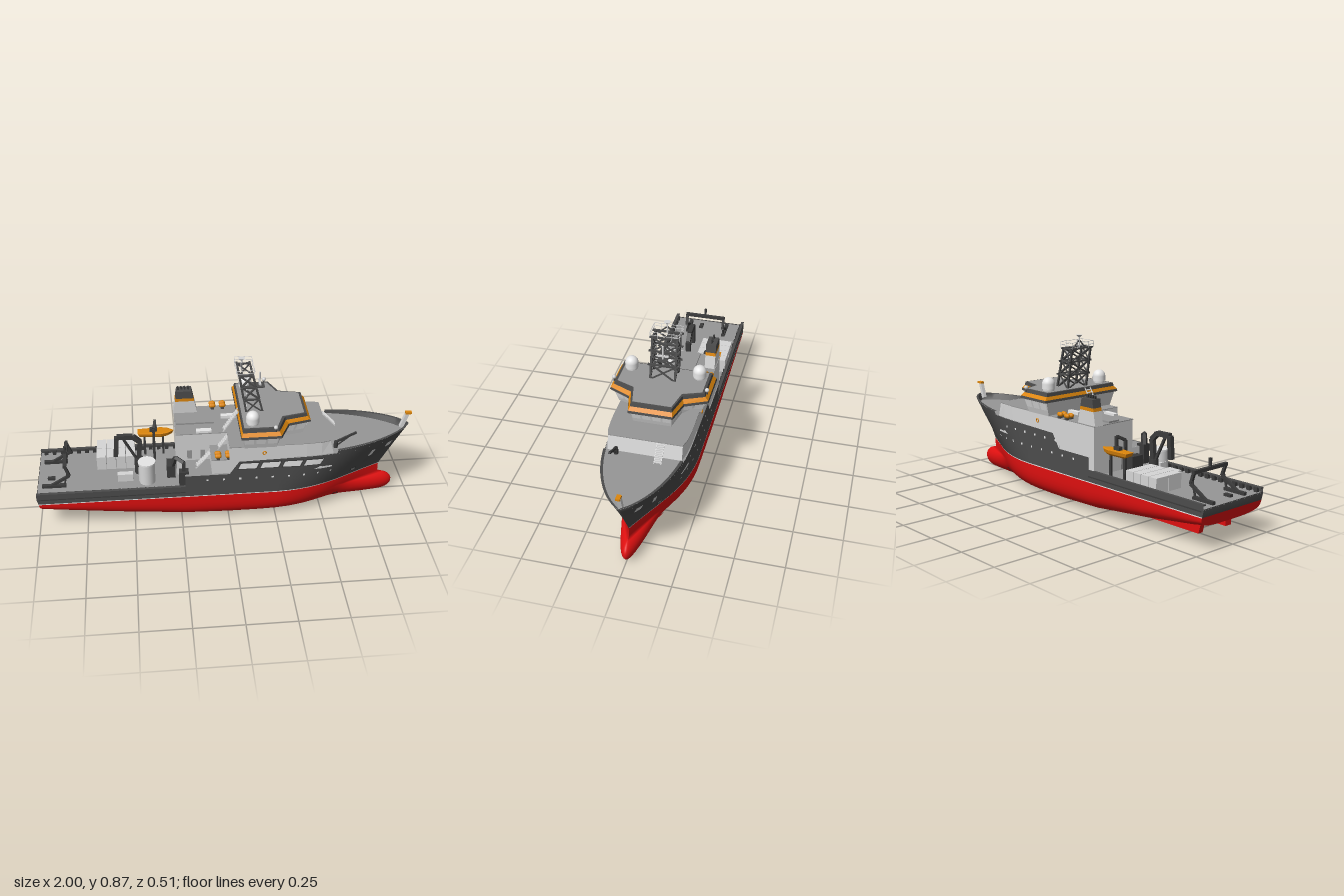
import * as THREE from 'three';
import { ParametricGeometry } from 'three/addons/geometries/ParametricGeometry.js';

const paint = (name, color) => {
  const m = new THREE.MeshStandardMaterial({ color, side: THREE.DoubleSide });
  m.name = name;
  return m;
};
const DARK = paint('hullGrey', 0x4c4c4c), RED = paint('bottomRed', 0xe01010), LIGHT = paint('houseGrey', 0xd6d6d6),
  WHITE = paint('white', 0xececec), ORANGE = paint('orange', 0xdd860c), DECK = paint('deckGrey', 0x969696),
  BLACK = paint('machineryGrey', 0x3c3c3c);

const { lerp, clamp, smoothstep } = THREE.MathUtils;
const V = (x, y, z) => new THREE.Vector3(x, y, z);
const WL = 0.17, BOW = 0.985;

// Hull rules: half breadth, stem rake, keel rise, bulb and sheer
const STATIONS = [-1, -0.97, -0.94, -0.9, -0.6, -0.231, -0.23, 0, 0.05, 0.15, 0.25, 0.32, 0.38, 0.44, 0.5, 0.569, 0.57,
  0.61, 0.65, 0.69, 0.73, 0.77, 0.81, 0.84, 0.87, 0.9, 0.925, 0.945, 0.96, 0.97, 0.977, 0.982, BOW];
const SHEER = [[-1, 0.232], [-0.231, 0.232], [-0.23, 0.3], [0, 0.3], [0.05, 0.375], [0.569, 0.387], [0.57, 0.404], [BOW, 0.422]];
const sheer = x => {
  for (let i = 1; i < SHEER.length; i++) {
    const [x0, y0] = SHEER[i - 1], [x1, y1] = SHEER[i];
    if (x <= x1) return lerp(y0, y1, (x - x0) / (x1 - x0));
  }
  return SHEER.at(-1)[1];
};
const station = u => {
  const f = clamp(u, 0, 1) * (STATIONS.length - 1), i = Math.min(Math.floor(f), STATIONS.length - 2);
  return lerp(STATIONS[i], STATIONS[i + 1], f - i);
};
const breadth = (s, y) => {
  const v = clamp((y - WL) / 0.25, 0, 1), s0 = lerp(0.25, 0.4, v);
  return 0.21 * (1 - clamp((s - s0) / (BOW - s0), 0, 1) ** lerp(1.6, 2.4, v)) ** lerp(1, 0.75, v);
};
const rake = (s, y) => s - 0.145 * (1 - clamp((y - WL) / 0.25, 0, 1)) * smoothstep(s, 0.3, BOW)
  + clamp((-0.9 - s) / 0.1, 0, 1) * Math.max(0, 0.2 - y) * 0.25;
const keel = s => 0.115 * clamp((-0.1 - s) / 0.9, 0, 1) ** 1.4;
const side = (s, y, k, out = 0) => V(rake(s, y), y, k * (breadth(s, y) + out));
const under = (s, a, out = 0) => {
  const th = Math.abs(a) * Math.PI / 2, e = 2 / lerp(3.4, 1.8, smoothstep(s, 0.1, 0.8));
  const y = WL - (WL - keel(s)) * Math.max(0, Math.cos(th)) ** e;
  const bump = Math.sqrt(Math.max(0, 1 - ((y - 0.058) / 0.058) ** 2));
  const bulb = 0.048 * bump * smoothstep(s, 0.5, 0.8) * Math.sqrt(1 - clamp((s - 0.8) / (BOW - 0.8), 0, 1) ** 2);
  return V(rake(s, y) + 0.08 * bump * smoothstep(s, 0.7, BOW), y,
    Math.sign(a) * (Math.hypot(breadth(s, WL) * Math.sin(th) ** e, bulb) + out));
};

export function createModel() {
  const ship = new THREE.Group();
  ship.name = 'ship';
  const add = (name, geo, mat, x = 0, y = 0, z = 0) => {
    const m = new THREE.Mesh(geo, mat);
    m.name = name;
    m.position.set(x, y, z);
    ship.add(m);
    return m;
  };
  const surface = (name, mat, f, nu, nv) => add(name, new ParametricGeometry((u, v, t) => t.copy(f(u, v)), nu, nv), mat);
  const box = (name, mat, x0, x1, y0, y1, z0, z1) =>
    add(name, new THREE.BoxGeometry(x1 - x0, y1 - y0, z1 - z0), mat, (x0 + x1) / 2, (y0 + y1) / 2, (z0 + z1) / 2);
  const cyl = (name, mat, x, y0, y1, z, r0, r1 = r0, n = 20) =>
    add(name, new THREE.CylinderGeometry(r1, r0, y1 - y0, n), mat, x, (y0 + y1) / 2, z);
  const beam = (name, mat, a, b, w, d = w) => {
    const p = V(...a), q = V(...b);
    const m = add(name, new THREE.BoxGeometry(w, p.distanceTo(q), d), mat);
    m.position.copy(p).lerp(q, 0.5);
    m.quaternion.setFromUnitVectors(V(0, 1, 0), q.sub(p).normalize());
  };
  const path = (name, mat, pts, w) => pts.slice(1).forEach((p, i) => beam(name, mat, pts[i], p, w));
  const mirror = half => [...half, ...half.map(([x, z]) => [x, -z]).reverse()];
  // Faceted loft through plan outlines [[y, [[x, z]...]]...], closed on top
  const loft = (name, mat, rings) => {
    const p = [], put = (r, i) => p.push(r[1][i][0], r[0], r[1][i][1]);
    for (let j = 1; j < rings.length; j++) {
      const a = rings[j - 1], b = rings[j], n = a[1].length;
      for (let i = 0; i < n; i++) {
        const k = (i + 1) % n;
        put(a, i); put(a, k); put(b, k); put(a, i); put(b, k); put(b, i);
      }
    }
    const top = rings.at(-1);
    for (const f of THREE.ShapeUtils.triangulateShape(top[1].map(q => new THREE.Vector2(q[0], -q[1])), [])) f.forEach(i => put(top, i));
    const g = new THREE.BufferGeometry();
    g.setAttribute('position', new THREE.Float32BufferAttribute(p, 3));
    g.computeVertexNormals();
    return add(name, g, mat);
  };

  // Hull shell with bulb, boot stripe and transom
  const N = STATIONS.length - 1;
  surface('hullBottom', RED, (u, v) => under(station(u), 2 * v - 1), N, 64);
  surface('transomBottom', RED, (u, v) => { const p = under(-1, v); p.z *= 2 * u - 1; return p; }, 2, 16);
  surface('transom', DARK, (u, v) => { const p = side(-1, lerp(WL, 0.212, v), 1); p.z *= 2 * u - 1; return p; }, 2, 1);
  for (const k of [1, -1]) {
    surface('topside', DARK, (u, v) => { const s = station(u); return side(s, lerp(WL, sheer(s), v), k); }, N, 8);
    surface('bootStripe', WHITE, (u, v) => side(station(u), lerp(WL - 0.001, WL + 0.004, v), k, 0.0012), N, 1);
  }
  const fin = (name, pts, d) => add(name, new THREE.ExtrudeGeometry(
    new THREE.Shape(pts.map(p => new THREE.Vector2(...p))), { depth: d, bevelEnabled: false }), RED, 0, 0, -d / 2);
  fin('skeg', [[-0.8, 0.002], [0, 0], [0, 0.03], [-0.5, 0.08], [-0.83, 0.12]], 0.03);
  fin('sternFin', [[-0.97, 0.085], [-0.83, 0.085], [-0.79, 0.13], [-0.97, 0.13]], 0.04);

  // Decks
  const deck = (name, s0, s1, y) => surface(name, DECK, (u, v) => {
    const p = side(lerp(s0, s1, u), y, 1);
    p.z *= 2 * v - 1;
    return p;
  }, 32, 1);
  deck('aftDeck', -1, -0.2, 0.207);
  deck('sideDeck', -0.23, 0.06, 0.297);
  deck('foreDeck', 0.3, BOW, 0.384);
  box('breakBulkhead', LIGHT, -0.229, -0.225, 0.2, 0.297, -0.208, 0.208);

  // Bulwark rails, posts and rubbing strips
  for (const k of [1, -1]) {
    box('bulwarkRail', DARK, -1, -0.23, 0.227, 0.234, k * 0.203 - 0.008, k * 0.203 + 0.008);
    box('rubbingStrip', BLACK, -0.99, -0.23, 0.197, 0.203, k * 0.21 - 0.003, k * 0.21 + 0.003);
    for (let i = 0; i < 17; i++) box('bulwarkPost', BLACK, -0.98 + i * 0.044, -0.96 + i * 0.044, 0.207, 0.23, k * 0.197 - 0.009, k * 0.197 + 0.009);
    surface('bowRail', DARK, (u, v) => {
      const s = lerp(0.57, BOW, u), p = side(s, sheer(s) + 0.001, k);
      p.z = k * Math.max(0, Math.abs(p.z) - 0.014 * v);
      return p;
    }, 32, 1);
  }

  // Plates that follow the hull skin
  const plate = (name, mat, s0, s1, y0, y1, k, slant = 0) =>
    surface(name, mat, (u, v) => side(lerp(s0, s1, u) + slant * v, lerp(y0, y1, v), k, 0.003), 4, 2);
  [0.045, 0.16, 0.275, 0.39].forEach(x => {
    plate('windowFrame', BLACK, x - 0.005, x + 0.098, 0.327, 0.37, 1, 0.016);
    surface('sideWindow', WHITE, (u, v) => side(x + 0.093 * u + 0.014 * v, lerp(0.332, 0.365, v), 1, 0.005), 4, 2);
  });
  for (const k of [1, -1]) {
    plate('bowOpening', LIGHT, 0.81, 0.835, 0.293, 0.342, k, -0.006);
    plate('bowOpening', LIGHT, 0.905, 0.94, 0.318, 0.355, k, -0.012);
    plate('anchorPocket', BLACK, 0.745, 0.79, 0.203, 0.23, k, -0.01);
    surface('anchor', DECK, (u, v) => side(0.752 + 0.03 * u - 0.008 * v, 0.208 + 0.017 * v, k, 0.005), 2, 2);
    surface('thrusterFrame', BLACK, (u, v) => under(0.65 + 0.045 * u, k * lerp(0.36, 0.54, v), 0.003), 2, 2);
    surface('thrusterGrating', RED, (u, v) => under(0.657 + 0.031 * u, k * lerp(0.39, 0.51, v), 0.005), 2, 2);
    for (let i = 0; i < 9; i++) plate('porthole', WHITE, -0.12 + i * 0.085, -0.109 + i * 0.085, 0.265, 0.276, k);
  }
  for (let i = 0; i < 6; i++) plate('porthole', WHITE, 0.02 + i * 0.085, 0.032 + i * 0.085, 0.335, 0.347, -1);

  // Deckhouses
  const house = f => mirror([[0, 0.206], [0.4, 0.206], [0.48, 0.2], [f, 0.188]]);
  loft('deckhouse', LIGHT, [[0.297, house(0.54)], [0.385, house(0.545)], [0.46, house(0.525)]]);
  loft('deckhouseRoof', DECK, [[0.459, house(0.527)], [0.463, house(0.527)]]);
  box('aftHouse', LIGHT, -0.265, 0.01, 0.2, 0.46, -0.205, 0.06);
  box('aftHouseRoof', DECK, -0.268, 0.01, 0.459, 0.463, -0.207, 0.063);
  box('raftHouse', LIGHT, -0.09, 0.01, 0.297, 0.383, 0.06, 0.195);
  box('raftDeck', DECK, -0.092, 0.01, 0.382, 0.386, 0.06, 0.2);
  box('roofLocker', DECK, -0.26, -0.06, 0.46, 0.472, -0.1, -0.03);
  box('wingLocker', WHITE, -0.02, 0.06, 0.46, 0.48, -0.095, -0.07);
  box('sideLocker', WHITE, -0.16, -0.08, 0.46, 0.475, 0.03, 0.058);
  for (let i = 0; i < 3; i++) box('houseDoor', DECK, -0.21 + i * 0.07, -0.185 + i * 0.07, 0.31, 0.36, 0.058, 0.063);
  box('aftDoor', DECK, -0.268, -0.264, 0.21, 0.27, -0.02, 0.015);

  // Bridge with wings, sloping walls, visor and roof
  const plan = o => mirror([[0.055 + o * 0.5, 0.255 - o], [0.26 - o * 0.5, 0.255 - o], [0.315 - o, 0.142 - o * 0.5], [0.432 - o, 0.113 - o * 0.4]]);
  const low = plan(0.04), high = plan(0.016);
  loft('bridgeWalls', LIGHT, [[0.46, low], [0.537, high]]);
  loft('bridgeVisor', DARK, [[0.534, plan(0.014)], [0.536, plan(0)], [0.549, plan(0.003)]]);
  loft('bridgeBand', ORANGE, [[0.549, plan(0.003)], [0.566, plan(0.019)]]);
  loft('bridgeParapet', DARK, [[0.566, plan(0.019)], [0.584, plan(0.023)]]);
  loft('bridgeRoof', DECK, [[0.58, plan(0.036)], [0.586, plan(0.036)]]);
  for (let i = 0; i < 7; i++) {
    const k = i + 1, len = Math.hypot(low[k][0] - low[i][0], low[k][1] - low[i][1]), n = Math.max(1, Math.round(len / 0.055));
    const [dx, dz] = [(low[k][0] - low[i][0]) / len, (low[k][1] - low[i][1]) / len];
    for (let j = 0; j < n; j++) surface('bridgeWindow', WHITE, (u, v) => {
      const a = (j + 0.1 + 0.8 * u) / n, b = lerp(0.4, 0.88, v);
      const at = c => lerp(lerp(low[i][c], low[k][c], a), lerp(high[i][c], high[k][c], a), b);
      return V(at(0) - dz * 0.003, lerp(0.46, 0.537, b), at(1) + dx * 0.003);
    }, 1, 1);
  }
  for (const k of [1, -1]) {
    cyl('domeBase', LIGHT, 0.12, 0.584, 0.6, k * 0.178, 0.03);
    cyl('domeSkirt', WHITE, 0.12, 0.596, 0.622, k * 0.178, 0.034, 0.034, 28);
    add('satelliteDome', new THREE.SphereGeometry(0.034, 28, 12, 0, Math.PI * 2, 0, Math.PI / 2), WHITE, 0.12, 0.622, k * 0.178);
    cyl('searchlightPost', DARK, 0.23, 0.57, 0.588, k * 0.24, 0.005);
    add('searchlight', new THREE.SphereGeometry(0.011, 14, 10), LIGHT, 0.23, 0.594, k * 0.24);
  }

  // Lattice mast leaning aft
  const leg = (f, k, y) => {
    const t = (y - 0.58) / 0.22;
    return [f ? lerp(0.185, 0.13, t) : lerp(0.1, 0.063, t), y, k * 0.064];
  };
  const tiers = [0.58, 0.656, 0.727, 0.797];
  for (const k of [1, -1]) for (const f of [0, 1]) beam('mastLeg', DARK, leg(f, k, 0.58), leg(f, k, 0.8), 0.01);
  tiers.slice(1).forEach((y, i) => {
    const y0 = tiers[i];
    for (const k of [1, -1]) {
      beam('mastSideBrace', DARK, leg(0, k, y0), leg(1, k, y), 0.006);
      beam('mastSideBrace', DARK, leg(1, k, y0), leg(0, k, y), 0.006);
      beam('mastSideBeam', DARK, leg(0, k, y), leg(1, k, y), 0.009);
      for (const f of [0, 1]) beam('mastCrossBrace', DARK, leg(f, k, y0), leg(f, -k, y), 0.007);
    }
    for (const f of [0, 1]) beam('mastCrossBeam', DARK, [leg(f, 1, y)[0], y, 0.08], [leg(f, 1, y)[0], y, -0.08], 0.009);
  });
  for (const y of [0.815, 0.832]) path('mastRail', LIGHT, [[0.05, y, 0.075], [0.14, y, 0.075], [0.14, y, -0.075], [0.05, y, -0.075], [0.05, y, 0.075]], 0.002);
  for (const x of [0.05, 0.14]) for (const z of [-0.075, -0.037, 0.037, 0.075]) beam('railPost', LIGHT, [x, 0.797, z], [x, 0.832, z], 0.002);
  for (const k of [1, -1]) beam('mastPeak', DARK, [0.08, 0.797, k * 0.045], [0.08, 0.838, 0], 0.006);
  cyl('topPole', LIGHT, 0.08, 0.8, 0.86, 0, 0.004);
  cyl('topAntenna', LIGHT, 0.08, 0.855, 0.866, 0, 0.006, 0.017);
  box('radarPlatform', DARK, 0.12, 0.2, 0.7, 0.705, -0.025, 0.025);
  box('radarScanner', LIGHT, 0.17, 0.18, 0.718, 0.726, -0.03, 0.03);
  cyl('radarPost', LIGHT, 0.175, 0.7, 0.78, 0, 0.005);
  for (let i = 0; i < 12; i++) box('ladderRung', LIGHT, 0.1, 0.103, 0.6 + i * 0.017, 0.602 + i * 0.017, 0.042, 0.06);

  // Funnel
  const stack = t => [[-0.27 + t * 0.022, -0.148], [-0.14 - t * 0.028, -0.148], [-0.14 - t * 0.028, -0.202], [-0.27 + t * 0.022, -0.202]];
  [[LIGHT, 0, 0.55], [ORANGE, 0.55, 0.68], [DARK, 0.68, 1]].forEach(([m, a, b]) =>
    loft('funnel', m, [[0.46 + a * 0.135, stack(a)], [0.46 + b * 0.135, stack(b)]]));
  for (let i = 0; i < 4; i++) beam('exhaustPipe', BLACK, [-0.235 + i * 0.018, 0.58, -0.175], [-0.242 + i * 0.018, 0.612, -0.175], 0.009);

  // Life rafts, lifebuoy and stairs
  for (const [y, z] of [[0.404, 0.178], [0.482, -0.19]]) for (const x of [-0.057, -0.003]) for (const d of [-0.013, 0.013]) {
    add('lifeRaft', new THREE.CapsuleGeometry(0.012, 0.012, 4, 12), ORANGE, x, y, z + d).rotation.z = Math.PI / 2;
    box('raftCradle', DARK, x - 0.008, x + 0.008, y - 0.02, y - 0.008, z + d - 0.01, z + d + 0.01);
  }
  for (const k of [1, -1]) add('lifebuoy', new THREE.TorusGeometry(0.009, 0.003, 8, 18), ORANGE, 0.18, 0.42, k * 0.207);
  const stairs = (a, b, z, n) => {
    for (const d of [-0.018, 0.018]) beam('stairStringer', LIGHT, [a[0], a[1], z + d], [b[0], b[1], z + d], 0.005, 0.003);
    for (let i = 1; i < n; i++) box('stairTread', LIGHT, lerp(a[0], b[0], i / n) - 0.006, lerp(a[0], b[0], i / n) + 0.006,
      lerp(a[1], b[1], i / n), lerp(a[1], b[1], i / n) + 0.003, z - 0.018, z + 0.018);
  };
  stairs([-0.17, 0.297], [-0.09, 0.385], 0.12, 8);
  stairs([-0.05, 0.386], [0.005, 0.46], 0.085, 7);
  stairs([-0.02, 0.463], [0.06, 0.584], 0.04, 9);
  stairs([0.6, 0.386], [0.53, 0.462], -0.08, 12);

  // Bow mast and foredeck crane
  beam('bowMast', LIGHT, [0.945, 0.4, 0], [0.972, 0.48, 0], 0.02);
  box('bowLight', ORANGE, 0.962, 0.995, 0.482, 0.493, -0.011, 0.011);
  cyl('foreCranePost', BLACK, 0.565, 0.384, 0.42, 0.137, 0.011);
  beam('foreCraneArm', BLACK, [0.56, 0.415, 0.137], [0.67, 0.47, 0.137], 0.01);
  beam('foreCraneRam', BLACK, [0.57, 0.395, 0.137], [0.63, 0.445, 0.137], 0.006);

  // Stern gantry
  for (const k of [1, -1]) {
    path('gantryLeg', BLACK, [[-0.93, 0.215, k * 0.11], [-0.83, 0.275, k * 0.11], [-0.85, 0.335, k * 0.11]], 0.014);
    box('gantryFoot', BLACK, -0.975, -0.85, 0.207, 0.222, k * 0.11 - 0.01, k * 0.11 + 0.01);
    beam('gantryRam', BLACK, [-0.86, 0.215, k * 0.11], [-0.84, 0.29, k * 0.11], 0.008);
  }
  beam('gantryBeam', BLACK, [-0.85, 0.335, -0.117], [-0.85, 0.335, 0.117], 0.017);
  beam('gantryBlock', BLACK, [-0.85, 0.335, 0], [-0.85, 0.385, 0], 0.012);
  box('sternRoller', BLACK, -0.95, -0.91, 0.207, 0.22, 0.03, 0.05);

  // Deck crane, winch housing, containers
  cyl('cranePedestal', BLACK, -0.465, 0.207, 0.3, 0.015, 0.024);
  path('craneArm', BLACK, [[-0.465, 0.29, 0.015], [-0.455, 0.4, 0.015], [-0.49, 0.435, 0.015], [-0.575, 0.437, 0.015], [-0.585, 0.32, 0.015]], 0.024);
  beam('craneRam', BLACK, [-0.48, 0.3, 0.015], [-0.54, 0.42, 0.015], 0.012);
  cyl('winchHousing', LIGHT, -0.425, 0.207, 0.325, 0.1, 0.042);
  cyl('winchCap', WHITE, -0.425, 0.325, 0.333, 0.1, 0.046);
  box('winchPipe', LIGHT, -0.47, -0.4, 0.207, 0.27, 0.06, 0.1);
  box('winchBox', LIGHT, -0.58, -0.5, 0.207, 0.25, 0.065, 0.095);
  box('deckWinch', BLACK, -0.32, -0.275, 0.207, 0.28, 0.01, 0.085);
  for (let i = 0; i < 4; i++) for (let j = 0; j < 2; j++)
    box('container', LIGHT, -0.69 + i * 0.052, -0.641 + i * 0.052, 0.207, 0.285, -0.195 + j * 0.087, -0.111 + j * 0.087);
  path('sideDavit', BLACK, [[-0.235, 0.207, 0.17], [-0.235, 0.36, 0.17], [-0.275, 0.375, 0.14], [-0.29, 0.32, 0.13]], 0.018);
  box('davitBase', BLACK, -0.26, -0.21, 0.2, 0.31, 0.15, 0.19);

  // Rescue boat with its davit
  const boat = (o, y) => [y, mirror([[-0.465 + o, 0.026 - o * 0.5], [-0.34, 0.035 - o * 0.6], [-0.3 - o * 0.5, 0.024 - o * 0.5], [-0.272 - o, 0.002]])];
  loft('rescueBoat', ORANGE, [boat(0.03, 0.325), boat(0.008, 0.337), boat(0, 0.355), boat(0.012, 0.357)]).position.z = -0.15;
  box('boatConsole', BLACK, -0.4, -0.36, 0.355, 0.375, -0.162, -0.138);
  path('boatDavit', BLACK, [[-0.38, 0.207, -0.1], [-0.38, 0.4, -0.1], [-0.37, 0.425, -0.15], [-0.37, 0.37, -0.15]], 0.014);
  for (const x of [-0.43, -0.33]) beam('boatCradle', BLACK, [x, 0.207, -0.15], [x, 0.33, -0.15], 0.012);
  return ship;
}
